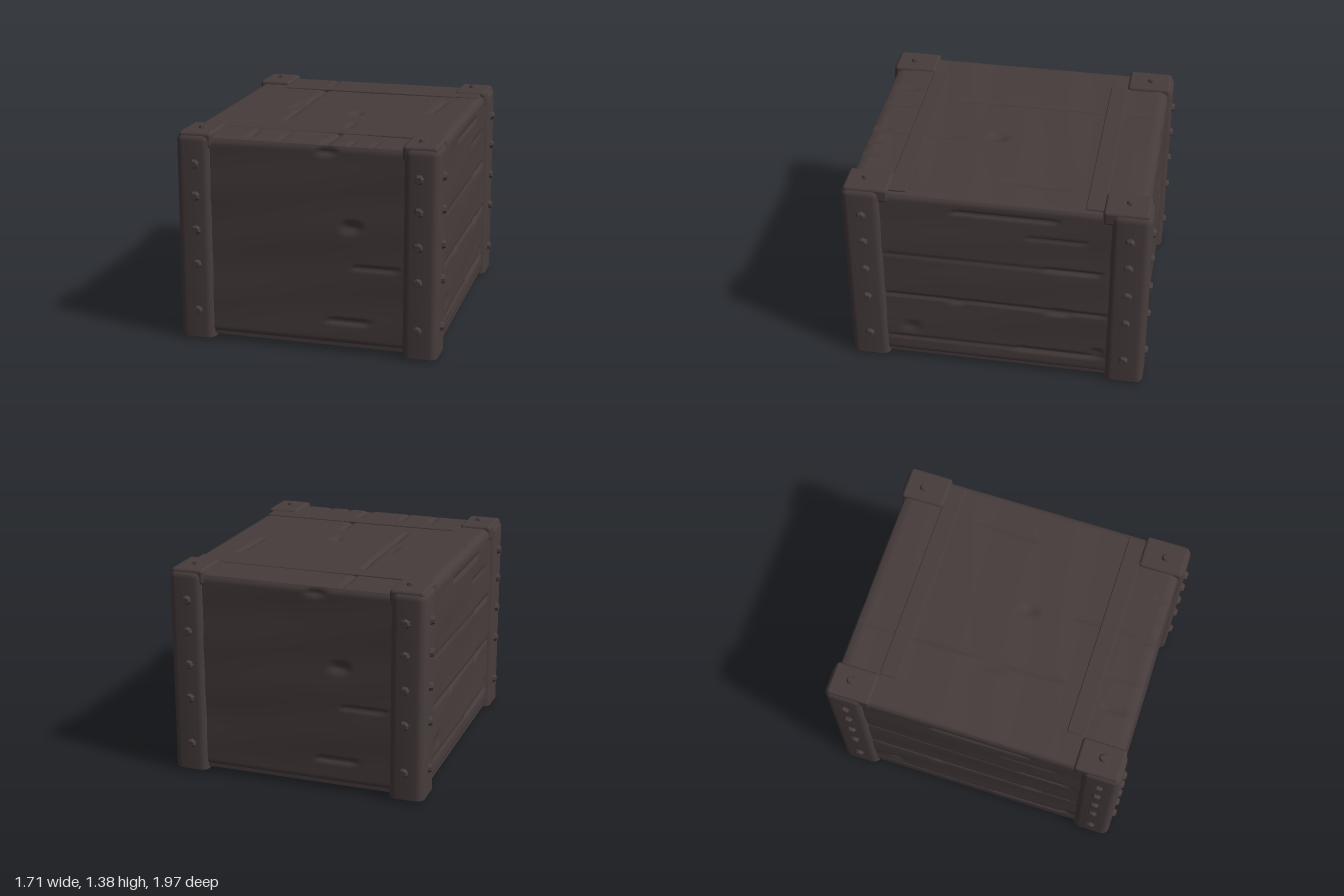
import * as THREE from 'three';
import { mergeVertices, toCreasedNormals } from 'three/addons/utils/BufferGeometryUtils.js';
import { RoundedBoxGeometry } from 'three/addons/geometries/RoundedBoxGeometry.js';

const wood = new THREE.MeshStandardMaterial({ color: 0x473c3c });
wood.name = 'darkWood';

const BODY = { x: 0.81, z: 0.935, bottom: 0.04, top: 1.337 };
const MID = (BODY.bottom + BODY.top) / 2;
const BEVEL = 0.014;

// Distance from a point to a segment
function segmentDistance(px, py, [ax, ay, bx, by]) {
  const dx = bx - ax, dy = by - ay;
  const t = THREE.MathUtils.clamp(((px - ax) * dx + (py - ay) * dy) / (dx * dx + dy * dy), 0, 1);
  return Math.hypot(px - ax - t * dx, py - ay - t * dy);
}

// Boarded face: softly worn sheet with cracks [x0, y0, x1, y1, depth, width]
function panel(name, w, h, segW, segH, cracks, phase) {
  const g = new THREE.PlaneGeometry(w - 2 * BEVEL, h - 2 * BEVEL, segW, segH);
  const p = g.attributes.position;
  for (let i = 0; i < p.count; i++) {
    const x = p.getX(i), y = p.getY(i);
    const edge = Math.min(w / 2 - BEVEL - Math.abs(x), h / 2 - BEVEL - Math.abs(y));
    const k = THREE.MathUtils.clamp(edge / 0.035, 0, 1);
    let z = 0.002 * Math.sin(7 * y + phase + 2 * x) + 0.0015 * Math.sin(19 * y - 3 * x + phase);
    let cut = 0;
    for (const c of cracks) {
      cut = Math.max(cut, c[4] * Math.max(0, 1 - segmentDistance(x, y, c) / c[5]));
    }
    z = (z - cut) * k - BEVEL * (1 - k) ** 2;
    p.setZ(i, z);
  }
  g.computeVertexNormals();
  const m = new THREE.Mesh(g, wood);
  m.name = name;
  return m;
}

// Corner post: rounded everywhere except its flat foot
function postGeometry(w, h, d, r) {
  const g = new RoundedBoxGeometry(w, h + r, d, 4, r);
  g.translate(0, (h - r) / 2, 0);
  const p = g.attributes.position;
  for (let i = 0; i < p.count; i++) {
    const y = Math.max(0, p.getY(i));
    const worn = 1 + 0.012 * Math.sin(y * 6.5 + 1);
    p.setXYZ(i, p.getX(i) * worn, y, p.getZ(i) * worn);
  }
  g.deleteAttribute('normal');
  g.deleteAttribute('uv');
  return toCreasedNormals(mergeVertices(g, 1e-4), 0.9);
}

// Faceted rivet head pointing along +y
function rivetGeometry() {
  const g = new THREE.CylinderGeometry(0.021, 0.04, 0.036, 7).toNonIndexed();
  g.computeVertexNormals();
  return g;
}

export function createModel() {
  const crate = new THREE.Group();
  crate.name = 'crate';
  const add = (name, geometry, x, y, z, parent = crate) => {
    const m = new THREE.Mesh(geometry, wood);
    m.name = name;
    m.position.set(x, y, z);
    parent.add(m);
    return m;
  };

  const H = BODY.top - BODY.bottom;

  // Front and back: broad boards with short splits and a knot
  const row = (x0, x1, y, depth, width = 0.02) => [x0, y - MID, x1, y - MID, depth, width];
  const frontCracks = [
    row(0.31, 0.57, 0.565, 0.014), row(0.15, 0.38, 0.205, 0.016, 0.025),
    row(0.26, 0.31, 0.82, 0.02, 0.05), row(-0.72, -0.63, 0.9, 0.01),
    row(0.1, 0.16, 1.29, 0.02, 0.04), row(-0.6, 0.6, 1.315, 0.006),
  ];
  const front = panel('frontBoards', BODY.x * 2, H, 60, 100, frontCracks, 0.4);
  front.position.set(0, MID, BODY.z);
  const back = panel('backBoards', BODY.x * 2, H, 60, 100, frontCracks, 2.1);
  back.position.set(0, MID, -BODY.z);
  back.rotation.y = Math.PI;

  // Sides: long planks with partly open seams
  const sideCracks = [
    row(-0.7, 0.7, 0.53, 0.014), row(0.36, 0.46, 0.52, 0.022, 0.035), row(-0.28, -0.22, 0.52, 0.02, 0.03),
    row(-0.7, 0.3, 0.86, 0.008), row(0.32, 0.64, 0.86, 0.02, 0.022),
    row(-0.7, 0.7, 0.175, 0.01), row(0.15, 0.66, 0.175, 0.02, 0.025), row(0.65, 0.66, 0.21, 0.022, 0.045),
    row(-0.25, 0.37, 1.235, 0.015), row(0.2, 0.55, 1.095, 0.009), row(-0.57, -0.55, 0.27, 0.014, 0.06),
  ];
  for (const s of [1, -1]) {
    const side = panel(s > 0 ? 'leftPlanks' : 'rightPlanks', BODY.z * 2, H, 60, 100, sideCracks, s);
    side.position.set(s * BODY.x, MID, 0);
    side.rotation.y = s * Math.PI / 2;
    crate.add(side);
  }

  // Lid: planks running front to back, with split ends (coordinates x, z)
  const seam = (x, z0, z1, depth, width = 0.02, lean = 0) => [x, -z0, x + lean, -z1, depth, width];
  const lidCracks = [
    seam(-0.295, -0.55, 0.4, 0.018), seam(-0.3, -0.92, -0.68, 0.012),
    seam(0.145, 0.35, 0.92, 0.014), seam(0.59, -0.4, -0.04, 0.014, 0.025, -0.02),
    seam(0.1, 0.08, 0.11, 0.025, 0.05), seam(-0.34, -0.1, 0.04, 0.012, 0.04),
    seam(-0.38, 0.73, 0.87, 0.018, 0.025, 0.01), seam(-0.165, 0.72, 0.92, 0.014),
    seam(0.12, 0.84, 0.92, 0.02, 0.03), seam(0.28, 0.86, 0.92, 0.016), seam(0.42, 0.85, 0.92, 0.016),
  ];
  const lid = panel('lidPlanks', BODY.x * 2, BODY.z * 2, 110, 60, lidCracks, 1.2);
  lid.position.set(0, BODY.top, 0);
  lid.rotation.x = -Math.PI / 2;
  crate.add(front, back, lid);

  // Floor plate
  add('floor', new THREE.BoxGeometry(1.605, 0.03, 1.855), 0, BODY.bottom + 0.015, 0);

  // Cross battens on the lid
  for (const s of [1, -1]) {
    add('lidBatten', new RoundedBoxGeometry(1.38, 0.04, 0.118, 2, 0.008), 0.09, 1.325, s * 0.612);
  }

  // Corner posts with caps and rivets
  const postGeo = postGeometry(0.222, 1.33, 0.25, 0.05);
  const capGeo = new RoundedBoxGeometry(0.215, 0.1, 0.285, 3, 0.022);
  const rivetGeo = rivetGeometry();
  const up = new THREE.Vector3(0, 1, 0);
  const rows = [0.2, 0.51, 0.735, 0.955, 1.16];
  for (const sx of [1, -1]) {
    for (const sz of [1, -1]) {
      const corner = new THREE.Group();
      corner.name = 'cornerPost';
      crate.add(corner);
      add('post', postGeo, sx * 0.722, 0.02, sz * 0.838, corner);
      add('postCap', capGeo, sx * 0.71, 1.308, sz * 0.805, corner);
      let n = 0;
      const rivet = (x, y, z, nx, ny, nz) => {
        const m = add('rivet', rivetGeo, x, y, z, corner);
        m.quaternion.setFromUnitVectors(up, new THREE.Vector3(nx, ny, nz));
        m.rotateY(++n * 1.7);
      };
      for (const y of rows) {
        rivet(sx * 0.837, y, sz * 0.835, sx, 0, 0);
        rivet(sx * 0.71, y, sz * 0.966, 0, 0, sz);
      }
      rivet(sx * 0.7, 1.357, sz * 0.82, 0, 1, 0);
      rivet(sx * 0.71, 0.018, sz * 0.83, 0, -1, 0);
    }
  }
  return crate;
}
